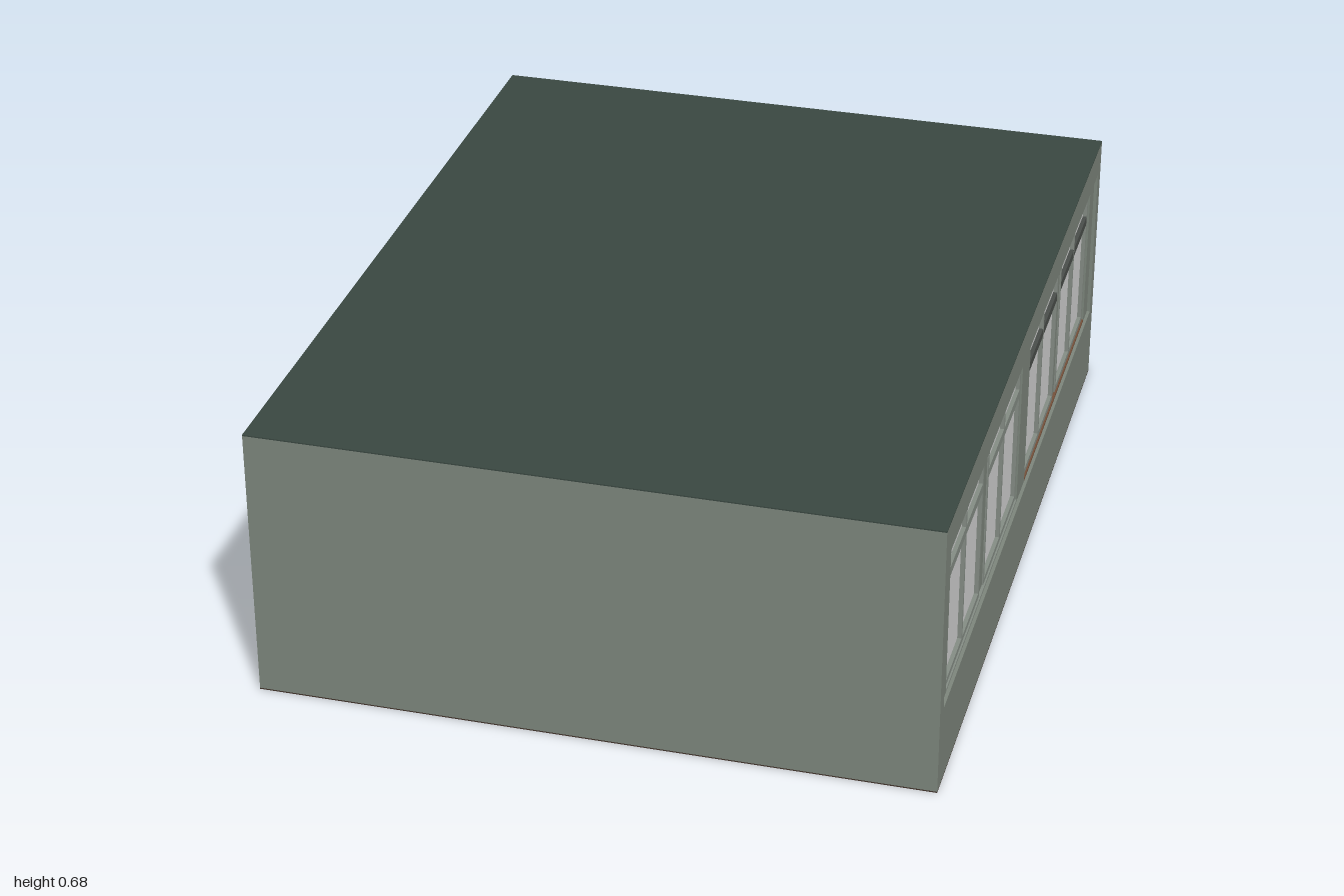
import * as THREE from 'three';

const mat = (name, color) => {
  const m = new THREE.MeshStandardMaterial({ color });
  m.name = name;
  return m;
};

export function createModel() {
  const room = new THREE.Group();
  room.name = 'classroomBuilding';

  const wall = mat('wallGreyGreen', 0x7d867c);
  const roofMat = mat('roofDarkGreen', 0x3a4841);
  const floorMat = mat('floorDarkBrown', 0x42342c);
  const frame = mat('frameGreyGreen', 0x858d85);
  const glass = mat('paleGlass', 0xd2d2d2);
  const wood = mat('woodBrown', 0x75513b);
  const dark = mat('darkMetal', 0x4a4e4b);

  // Box given by its low and high corners
  const block = (name, material, [x0, y0, z0], [x1, y1, z1], parent = room) => {
    const mesh = new THREE.Mesh(new THREE.BoxGeometry(x1 - x0, y1 - y0, z1 - z0), material);
    mesh.position.set((x0 + x1) / 2, (y0 + y1) / 2, (z0 + z1) / 2);
    mesh.name = name;
    parent.add(mesh);
    return mesh;
  };

  const L = -0.795, R = 0.805, H = 0.68, T = 0.04;
  const sillY = 0.2, headY = 0.6;

  // Floor, roof and the three closed walls
  block('floor', floorMat, [L, 0, -1], [R, 0.003, 1]);
  block('roof', roofMat, [L, H - 0.003, -1], [R, H, 1]);
  block('frontWall', wall, [L, 0.003, 1 - T], [R, H - 0.003, 1]);
  block('backWall', wall, [L, 0.003, -1], [R, H - 0.003, -1 + T]);
  block('doorWall', wall, [L, 0.003, -1 + T], [L + T, H - 0.003, 1 - T]);

  // Window wall: parapet, lintel and slightly recessed piers
  block('parapet', wall, [R - T, 0.003, -1 + T], [R, sillY, 1 - T]);
  block('lintel', wall, [R - T, headY, -1 + T], [R, H - 0.003, 1 - T]);
  for (const [z0, z1] of [[0.9, 1 - T], [-0.05, 0.05], [-1 + T, -0.9]]) {
    block('pier', wall, [R - T, sillY, z0], [R - 0.008, headY, z1]);
  }

  // One window: surround, mullion, transom and four panes
  function makeWindow(z0, z1, railMat) {
    const g = new THREE.Group();
    g.name = 'window';
    const x0 = R - 0.035, x1 = R - 0.012, w = 0.011;
    const mid = (z0 + z1) / 2, t0 = 0.492, t1 = 0.515;
    block('jamb', frame, [x0, sillY, z0], [x1, headY, z0 + w], g);
    block('jamb', frame, [x0, sillY, z1 - w], [x1, headY, z1], g);
    block('bottomRail', frame, [x0, sillY + 0.006, z0 + w], [x1, sillY + 0.02, z1 - w], g);
    block('topRail', frame, [x0, headY - 0.008, z0 + w], [x1, headY, z1 - w], g);
    block('mullion', frame, [x0, sillY + 0.02, mid - 0.005], [x1, headY - 0.008, mid + 0.005], g);
    for (const [a, b] of [[z0 + w, mid - 0.005], [mid + 0.005, z1 - w]]) {
      block('transom', railMat, [x0, t0, a], [x1, t1, b], g);
      block('lowerPane', glass, [R - 0.028, sillY + 0.02, a], [R - 0.022, t0, b], g);
      block('upperPane', glass, [R - 0.028, t1, a], [R - 0.022, headY - 0.008, b], g);
    }
    room.add(g);
  }
  makeWindow(0.5, 0.9, frame);
  makeWindow(0.05, 0.45, frame);
  makeWindow(-0.46, -0.055, dark);
  makeWindow(-0.895, -0.495, dark);

  // Posts between paired windows, and the sills beneath them
  block('windowPost', wall, [R - T, sillY, 0.45], [R - 0.015, headY, 0.5]);
  block('windowPost', wall, [R - T, sillY, -0.495], [R - 0.015, headY, -0.46]);
  block('windowSill', frame, [R - T, sillY, 0.05], [R - 0.008, sillY + 0.006, 0.9]);
  block('windowSill', wood, [R - T, sillY, -0.9], [R - 0.008, sillY + 0.006, -0.05]);

  // Door with its projecting frame
  const dx = L - 0.015, z0 = 0.55, z1 = 0.77, top = 0.44, w = 0.017;
  block('doorJamb', wood, [dx, 0, z0], [L, top, z0 + w]);
  block('doorJamb', wood, [dx, 0, z1 - w], [L, top, z1]);
  block('doorHead', wood, [dx, top - w, z0 + w], [L, top, z1 - w]);
  block('doorLeaf', wall, [L - 0.004, 0.003, z0 + w], [L, top - w, z1 - w]);
  block('doorHandle', dark, [L - 0.012, 0.2, z1 - 0.04], [L - 0.004, 0.215, z1 - 0.025]);

  return room;
}
